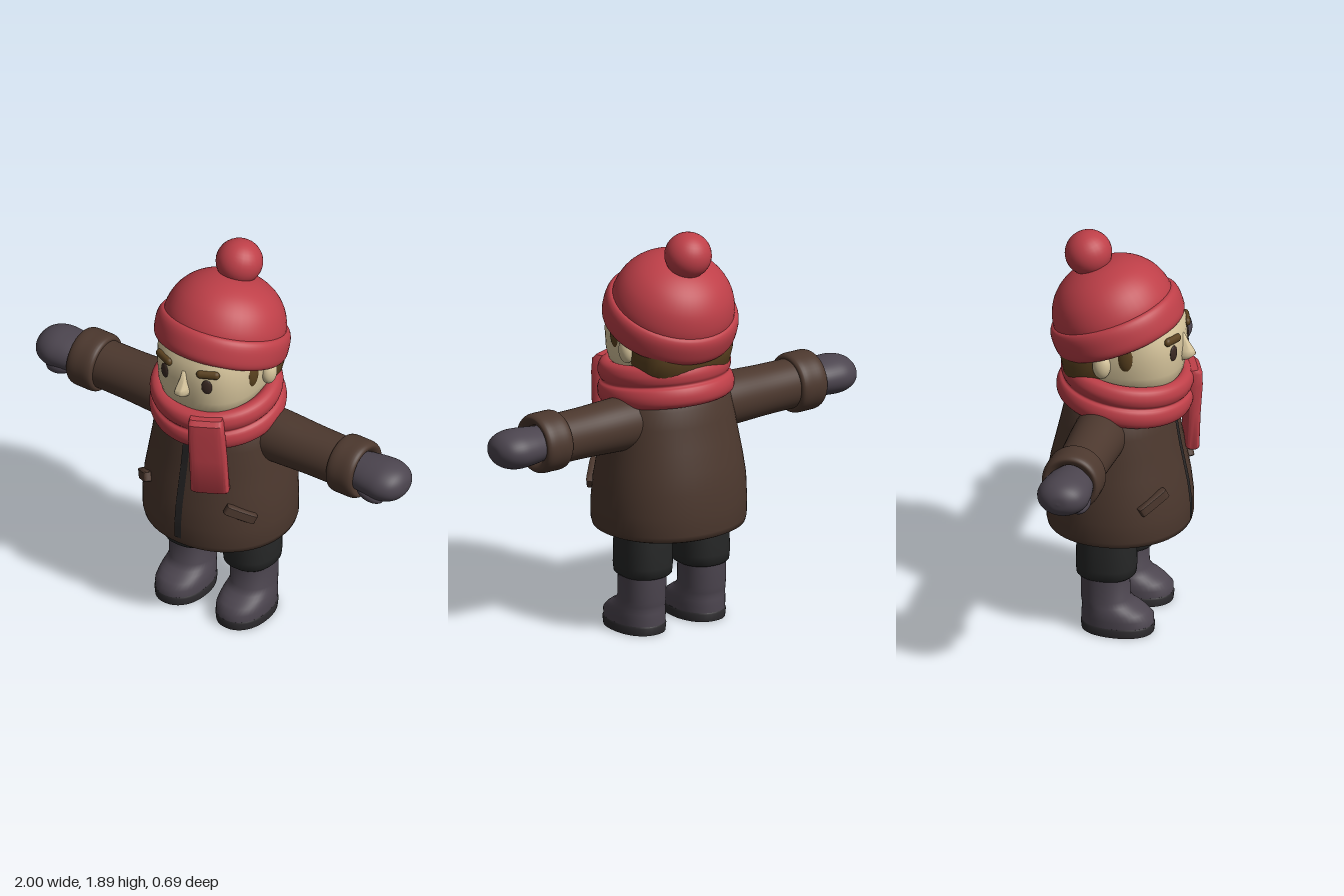
import * as THREE from 'three';
import { toCreasedNormals } from 'three/addons/utils/BufferGeometryUtils.js';

const mat = (name, color, side = THREE.FrontSide) =>
  Object.assign(new THREE.MeshStandardMaterial({ color, side }), { name });

// Closed solid through horizontal rings [y, halfWidth, halfDepth, centreZ]; p squares the ring off.
function loft(rings, p = 2, n = 40, crease = 0.9) {
  const pos = [], idx = [];
  const pw = (v) => Math.sign(v) * Math.abs(v) ** (2 / p);
  for (const [y, rx, rz, cz = 0] of rings) {
    for (let j = 0; j < n; j++) {
      const a = (j / n) * Math.PI * 2;
      pos.push(rx * pw(Math.sin(a)), y, cz + rz * pw(Math.cos(a)));
    }
  }
  const last = (rings.length - 1) * n, bottom = rings.length * n, top = bottom + 1;
  pos.push(0, rings[0][0], rings[0][3] || 0);
  pos.push(0, rings[rings.length - 1][0], rings[rings.length - 1][3] || 0);
  for (let j = 0; j < n; j++) {
    const k = (j + 1) % n;
    for (let i = 0; i < last; i += n) idx.push(i + j, i + k, i + n + k, i + j, i + n + k, i + n + j);
    idx.push(bottom, k, j, top, last + j, last + k);
  }
  const g = new THREE.BufferGeometry();
  g.setAttribute('position', new THREE.Float32BufferAttribute(pos, 3));
  g.setIndex(idx);
  g.computeVertexNormals();
  return toCreasedNormals(g, crease);
}

// Smooth turned shape from a few [radius, y] points.
function turned(points, closed = false, n = 48) {
  const pts = points.map(([r, y]) => new THREE.Vector3(r, y, 0));
  const curve = new THREE.CatmullRomCurve3(pts, closed, 'centripetal');
  const profile = curve.getPoints(points.length * 4).map((v) => new THREE.Vector2(Math.max(0, v.x), v.y));
  return new THREE.LatheGeometry(profile, n);
}

export function createModel() {
  const red = mat('knitRed', 0xbe3f48);
  const brown = mat('coatBrown', 0x4c382e);
  const purple = mat('bootPurple', 0x4c454f);
  const black = mat('trouserBlack', 0x262727);
  const soleMat = mat('soleDark', 0x2b292c);
  const skin = mat('skin', 0xd8c69d);
  const hairMat = mat('hairBrown', 0x5b4220);
  const eyeMat = mat('eyeBrown', 0x3a2923);
  const zipMat = mat('zipDark', 0x282626, THREE.DoubleSide);

  const model = new THREE.Group();
  const add = (name, geo, m, x = 0, y = 0, z = 0, parent = model) => {
    const mesh = new THREE.Mesh(geo, m);
    mesh.name = name;
    mesh.position.set(x, y, z);
    parent.add(mesh);
    return mesh;
  };
  const ball = (name, m, x, y, z, sx, sy, sz, parent) => {
    const b = add(name, new THREE.SphereGeometry(1, 28, 20), m, x, y, z, parent);
    b.scale.set(sx, sy, sz);
    return b;
  };

  // Coat body
  const coat = [
    [0.50, 0.30, 0.28, -0.01], [0.478, 0.335, 0.312, -0.01], [0.485, 0.35, 0.325, -0.01],
    [0.51, 0.357, 0.33, -0.01], [0.60, 0.358, 0.33, -0.01], [0.70, 0.353, 0.322, -0.014],
    [0.80, 0.338, 0.304, -0.016], [0.90, 0.322, 0.282, -0.014], [1.00, 0.308, 0.262, -0.01],
    [1.08, 0.29, 0.245, -0.01], [1.14, 0.25, 0.215, -0.01], [1.18, 0.18, 0.16, -0.01],
  ];
  add('coat', loft(coat, 2.1, 56), brown);
  const coatFront = (y) => {
    const i = Math.max(1, coat.findIndex((r, k) => k > 1 && r[0] >= y));
    const [a, b] = [coat[i - 1], coat[i]];
    return THREE.MathUtils.lerp(a[2] + a[3], b[2] + b[3], (y - a[0]) / (b[0] - a[0]));
  };

  // Zip strip following the coat front
  const zip = new THREE.PlaneGeometry(0.036, 0.5, 1, 16).translate(-0.008, 0.77, 0);
  const zp = zip.attributes.position;
  for (let i = 0; i < zp.count; i++) zp.setZ(i, coatFront(zp.getY(i)) + 0.004);
  zip.computeVertexNormals();
  add('zip', zip, zipMat);

  // Sleeve, cuff and mitten profiles, turned about the arm's length
  const sleeve = turned([[0.125, 0.15], [0.123, 0.32], [0.116, 0.5], [0.114, 0.69]]);
  const cuff = turned([
    [0.085, 0.66], [0.12, 0.642], [0.135, 0.655], [0.138, 0.71], [0.135, 0.765],
    [0.12, 0.782], [0.09, 0.765], [0.08, 0.71],
  ], true);
  const mitten = turned([
    [0.07, 0.68], [0.078, 0.76], [0.087, 0.84], [0.087, 0.91], [0.068, 0.965], [0.035, 0.994], [0, 1.0],
  ]);
  const trouserLeg = loft([
    [0.285, 0.1, 0.11, -0.03], [0.27, 0.112, 0.124, -0.03], [0.28, 0.122, 0.135, -0.03],
    [0.32, 0.126, 0.138, -0.03], [0.42, 0.124, 0.136, -0.03], [0.53, 0.122, 0.13, -0.03],
  ], 2.3);
  const boot = loft([
    [0.03, 0.116, 0.166, 0.025], [0.075, 0.119, 0.166, 0.024], [0.10, 0.116, 0.152, 0.012],
    [0.12, 0.112, 0.136, -0.002], [0.135, 0.108, 0.122, -0.018], [0.16, 0.104, 0.112, -0.032],
    [0.30, 0.106, 0.11, -0.035],
  ], 2.2);
  const sole = loft([[0, 0.118, 0.166, 0.025], [0.035, 0.121, 0.17, 0.025], [0.042, 0.117, 0.166, 0.025]], 2.2);

  for (const s of [1, -1]) {
    const side = s > 0 ? 'left' : 'right';
    // Arms
    const arm = new THREE.Group();
    arm.name = side + 'Arm';
    arm.position.set(0, 1.007, -0.035);
    arm.rotation.z = (-s * Math.PI) / 2;
    model.add(arm);
    add(side + 'Sleeve', sleeve, brown, 0, 0, 0, arm);
    add(side + 'Cuff', cuff, brown, 0, 0, 0, arm);
    add(side + 'Mitten', mitten, purple, 0, 0, 0, arm).scale.z = 1.36;
    const thumb = ball(side + 'Thumb', purple, s * 0.85, 0.958, 0.035, 0.072, 0.036, 0.045);
    thumb.rotation.z = -s * 0.25;

    // Slanted pocket flap
    const flap = add(side + 'PocketFlap', loft([
      [-0.024, 0.07, 0.014], [-0.02, 0.078, 0.02], [0.02, 0.078, 0.02], [0.024, 0.07, 0.014],
    ], 6, 32, 0.6), brown, s * 0.262, 0.7, 0.215);
    flap.rotation.set(0, s * 0.78, -s * 0.5, 'YXZ');

    // Legs
    add(side + 'TrouserLeg', trouserLeg, black, s * 0.16);
    add(side + 'Boot', boot, purple, s * 0.167);
    add(side + 'Sole', sole, soleMat, s * 0.167);

    // Face details
    ball(side + 'Ear', skin, s * 0.25, 1.35, -0.03, 0.035, 0.062, 0.042);
    ball(side + 'Sideburn', hairMat, s * 0.228, 1.395, 0.075, 0.024, 0.075, 0.042);
    ball(side + 'Eye', eyeMat, s * 0.115, 1.388, 0.271, 0.025, 0.038, 0.009).rotation.y = s * 0.37;
    const brow = add(side + 'Eyebrow', new THREE.CapsuleGeometry(0.02, 0.07, 6, 16), hairMat, s * 0.12, 1.457, 0.268);
    brow.rotation.set(0, s * 0.37, Math.PI / 2 + s * 0.06, 'YXZ');
    brow.scale.z = 0.8;
  }
  add('trouserSeat', loft([[0.43, 0.13, 0.1, -0.03], [0.46, 0.2, 0.13, -0.03], [0.53, 0.24, 0.13, -0.03]], 2.4), black);

  // Head, hair and nose
  add('head', loft([
    [1.10, 0.12, 0.12, 0], [1.17, 0.16, 0.18, 0.02], [1.2, 0.195, 0.225, 0.022], [1.24, 0.225, 0.253, 0.022],
    [1.29, 0.24, 0.266, 0.02], [1.38, 0.246, 0.27, 0.02], [1.48, 0.246, 0.268, 0.015],
    [1.56, 0.22, 0.23, 0], [1.62, 0.15, 0.15, 0],
  ], 2.5, 48), skin);
  add('hair', loft([
    [1.2, 0.2, 0.12, -0.1], [1.25, 0.235, 0.16, -0.1], [1.32, 0.252, 0.172, -0.1],
    [1.44, 0.254, 0.172, -0.1], [1.54, 0.2, 0.14, -0.08],
  ], 2.4), hairMat);
  add('nose', loft([
    [1.305, 0.012, 0.012, 0.28], [1.318, 0.028, 0.032, 0.288], [1.34, 0.033, 0.05, 0.295],
    [1.36, 0.028, 0.045, 0.292], [1.4, 0.017, 0.028, 0.283], [1.44, 0.01, 0.012, 0.278],
  ], 2, 20, 1.5), skin);

  // Tilted hat: dome, folded band and bobble
  const hat = new THREE.Group();
  hat.name = 'hat';
  hat.position.set(0, 1.405, 0.002);
  hat.rotation.x = -0.36;
  model.add(hat);
  add('hatDome', turned([[0.27, 0.05], [0.283, 0.13], [0.272, 0.19], [0.243, 0.25], [0.19, 0.305], [0.11, 0.345], [0, 0.362]]), red, 0, 0, 0, hat);
  add('hatBand', turned([
    [0.25, 0.005], [0.285, -0.003], [0.304, 0.015], [0.311, 0.06], [0.306, 0.115],
    [0.29, 0.138], [0.262, 0.135], [0.245, 0.07],
  ], true, 56), red, 0, 0, 0, hat);
  ball('bobble', red, 0, 0.415, -0.015, 0.108, 0.105, 0.108, hat);

  // Scarf wrapped in two folds, lower at the front
  const scarf = add('scarfWrap', turned([
    [0.22, -0.085], [0.27, -0.1], [0.302, -0.082], [0.312, -0.045], [0.303, -0.01], [0.288, 0.004],
    [0.298, 0.022], [0.303, 0.055], [0.288, 0.09], [0.255, 0.1], [0.222, 0.075], [0.2, 0],
  ], true, 56), red, 0, 1.168, 0.018);
  scarf.rotation.x = 0.13;

  // Hanging scarf end
  const tail = add('scarfTail', loft([
    [-0.205, 0.08, 0.024, 0.0], [-0.195, 0.088, 0.032, 0.0], [-0.02, 0.086, 0.032, 0.005],
    [0.12, 0.083, 0.034, 0.012], [0.18, 0.08, 0.034, 0.01], [0.2, 0.074, 0.024, 0],
  ], 5, 40, 0.7), red, 0.133, 1.028, 0.285);
  tail.rotation.set(0, 0.42, 0.05, 'YXZ');

  return model;
}
